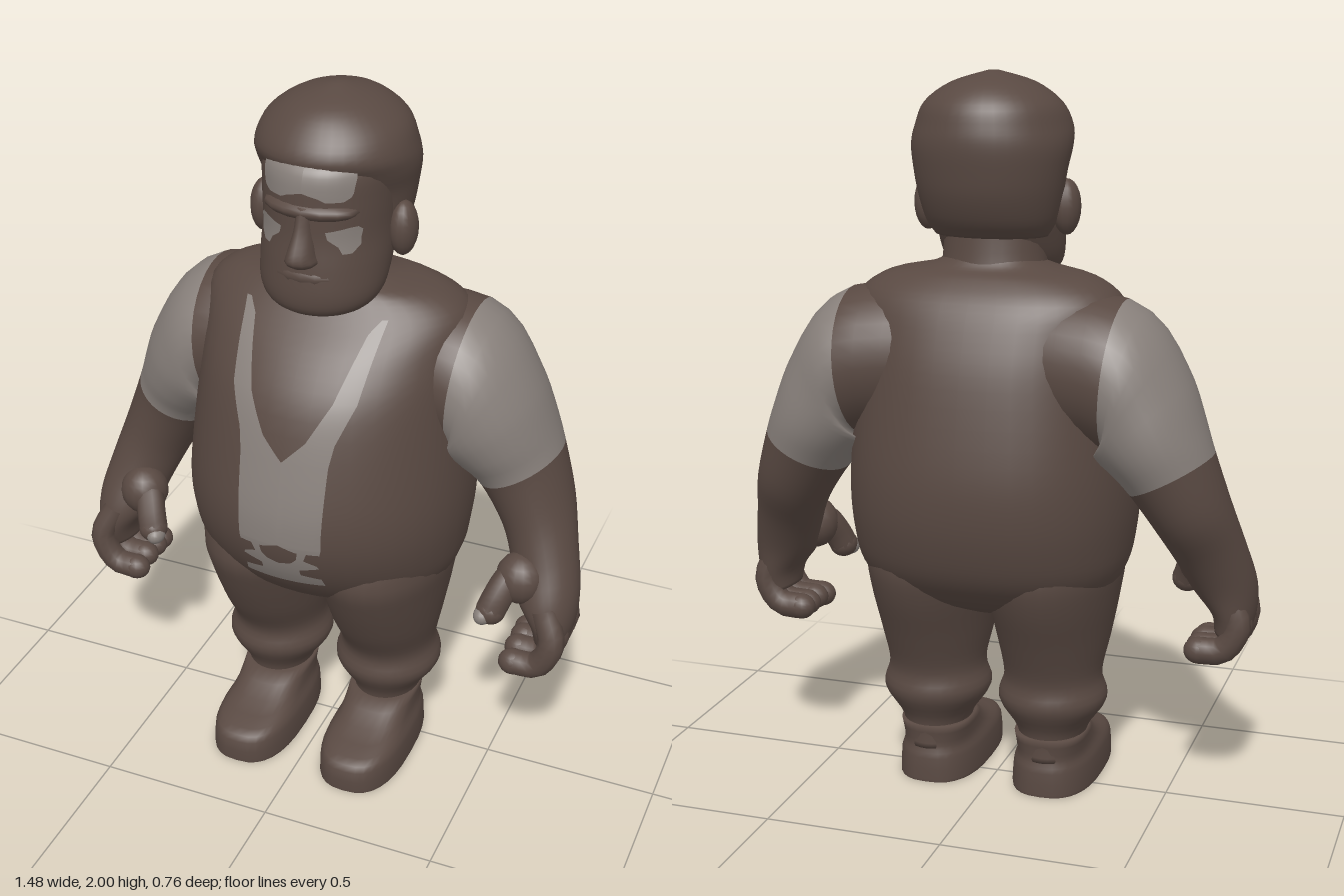
import * as THREE from 'three';

const brown = new THREE.MeshStandardMaterial({ color: 0x594942 });
brown.name = 'dark brown';
const grey = new THREE.MeshStandardMaterial({ color: 0x88807b });
grey.name = 'warm grey';

// Smooth interpolation through section rows
function sample(rows, t) {
  const last = rows.length - 1;
  const i = Math.min(Math.floor(t), last - 1), f = t - i;
  const a = rows[Math.max(i - 1, 0)], b = rows[i], c = rows[i + 1], d = rows[Math.min(i + 2, last)];
  return b.map((v, k) => v + 0.5 * f * (c[k] - a[k] + f * (2 * a[k] - 5 * v + 4 * c[k] - d[k]
    + f * (3 * (v - c[k]) + d[k] - a[k]))));
}

// Skin over elliptical sections [x, y, z, radius across, radius in z, heading in degrees].
// greySpan gives the section range painted grey; power and back below 1 square off the outline.
function loft(name, rows, { sides = 32, steps = 4, power = 1, back = power, greySpan = null } = {}) {
  const pos = [], idx = [], rings = (rows.length - 1) * steps;
  const bend = (v, p) => Math.sign(v) * Math.abs(v) ** p;
  for (let i = 0; i <= rings; i++) {
    const [x, y, z, ra, rz, deg] = sample(rows, i / steps);
    const h = deg * Math.PI / 180;
    for (let j = 0; j < sides; j++) {
      const q = j / sides * Math.PI * 2, p = Math.sin(q) < 0 ? back : power;
      const u = ra * bend(Math.cos(q), p);
      pos.push(x + Math.sin(h) * u, y - Math.cos(h) * u, z + rz * bend(Math.sin(q), p));
    }
  }
  const first = rows[0], end = rows[rows.length - 1], n = (rings + 1) * sides;
  pos.push(first[0], first[1], first[2], end[0], end[1], end[2]);
  for (let i = 0; i < rings; i++) for (let j = 0; j < sides; j++) {
    const k = (j + 1) % sides, a = i * sides + j, b = i * sides + k;
    idx.push(a, a + sides, b, b, a + sides, b + sides);
  }
  const body = idx.length;
  for (let j = 0; j < sides; j++) {
    const k = (j + 1) % sides;
    idx.push(n, j, k, n + 1, rings * sides + k, rings * sides + j);
  }
  const geo = new THREE.BufferGeometry();
  geo.setAttribute('position', new THREE.Float32BufferAttribute(pos, 3));
  geo.setIndex(idx);
  geo.computeVertexNormals();
  let material = brown;
  if (greySpan) {
    const per = steps * sides * 6, [g0, g1] = greySpan;
    geo.addGroup(0, g0 * per, 0);
    geo.addGroup(g0 * per, (g1 - g0) * per, 1);
    geo.addGroup(g1 * per, body - g1 * per + sides * 6, 0);
    material = [brown, grey];
  }
  const mesh = new THREE.Mesh(geo, material);
  mesh.name = name;
  return mesh;
}

// Upright sections [y, z centre, half width, half depth]
const upright = (rows, x = 0) => rows.map(([y, z, rx, rz]) => [x, y, z, rx, rz, 90]);
const flip = (rows, s) => rows.map(([x, y, z, a, b, d]) => [s * x, y, z, a, b, s > 0 ? d : 180 - d]);

// Front depth of an upright loft at x, y
function frontZ(rows, x, y) {
  let lo = 0, hi = rows.length - 1;
  for (let i = 0; i < 30; i++) {
    const mid = (lo + hi) / 2;
    if (sample(rows, mid)[1] < y) lo = mid; else hi = mid;
  }
  const [, , z, rx, rz] = sample(rows, lo);
  return z + rz * Math.sqrt(Math.max(0, 1 - (x / rx) ** 2));
}

// Thin painted patch hugging the front; rows are [y, inner x, outer x] from top to bottom
function patch(name, surface, rows, s) {
  const pos = [], idx = [], cols = 6, sub = 5, count = (rows.length - 1) * sub;
  for (let i = 0; i <= count; i++) {
    const k = Math.min(Math.floor(i / sub), rows.length - 2), f = i / sub - k;
    const [y, x0, x1] = rows[k].map((v, c) => v + (rows[k + 1][c] - v) * f);
    for (let j = 0; j <= cols; j++) {
      const x = s * (x0 + (x1 - x0) * j / cols);
      pos.push(x, y, frontZ(surface, x, y) + 0.007);
    }
  }
  for (let i = 0; i < count; i++) for (let j = 0; j < cols; j++) {
    const a = i * (cols + 1) + j, b = a + 1, c = a + cols + 1, d = c + 1;
    if (s > 0) idx.push(a, c, b, b, c, d); else idx.push(a, b, c, b, d, c);
  }
  const geo = new THREE.BufferGeometry();
  geo.setAttribute('position', new THREE.Float32BufferAttribute(pos, 3));
  geo.setIndex(idx);
  geo.computeVertexNormals();
  const mesh = new THREE.Mesh(geo, grey);
  mesh.name = name;
  return mesh;
}

function ball(name, material, p, r) {
  const geo = new THREE.SphereGeometry(1, 16, 12);
  geo.scale(...r);
  const mesh = new THREE.Mesh(geo, material);
  mesh.position.set(...p);
  mesh.name = name;
  return mesh;
}

function tube(name, points, r) {
  const path = new THREE.CatmullRomCurve3(points.map(p => new THREE.Vector3(...p)));
  const mesh = new THREE.Mesh(new THREE.TubeGeometry(path, 10, r, 10), brown);
  mesh.name = name;
  return mesh;
}

const torso = upright([
  [0.52, -0.01, 0.2, 0.1], [0.58, -0.01, 0.315, 0.225], [0.66, -0.008, 0.372, 0.308], [0.76, 0, 0.393, 0.357],
  [0.87, 0.002, 0.4, 0.377], [1.0, -0.003, 0.393, 0.367], [1.2, -0.012, 0.372, 0.322], [1.32, -0.03, 0.368, 0.265],
  [1.41, -0.05, 0.365, 0.2], [1.465, -0.045, 0.29, 0.15], [1.49, -0.03, 0.17, 0.125], [1.52, -0.02, 0.12, 0.11]]);
const face = upright([
  [1.43, 0.1, 0.06, 0.05], [1.455, 0.085, 0.13, 0.115], [1.5, 0.065, 0.165, 0.15], [1.58, 0.035, 0.174, 0.175],
  [1.66, 0.01, 0.174, 0.19], [1.75, 0.0, 0.178, 0.198], [1.84, -0.02, 0.18, 0.205], [1.9, -0.04, 0.14, 0.15]]);
const hair = upright([
  [1.57, -0.05, 0.155, 0.1], [1.61, -0.055, 0.178, 0.135], [1.68, -0.06, 0.196, 0.163], [1.75, -0.06, 0.208, 0.178],
  [1.81, -0.045, 0.217, 0.2], [1.86, -0.028, 0.21, 0.212], [1.92, -0.035, 0.182, 0.185],
  [1.97, -0.035, 0.112, 0.125], [2.0, -0.035, 0.015, 0.02]]);
const arm = [
  [0.12, 1.245, -0.085, 0.195, 0.18, 0], [0.365, 1.215, -0.09, 0.205, 0.21, -5], [0.425, 1.12, -0.09, 0.175, 0.205, -43],
  [0.475, 1.04, -0.1, 0.145, 0.185, -59], [0.52, 0.965, -0.105, 0.125, 0.155, -62],
  [0.58, 0.84, -0.085, 0.105, 0.13, -65], [0.62, 0.73, -0.035, 0.095, 0.105, -70],
  [0.65, 0.63, 0.01, 0.087, 0.1, -82], [0.672, 0.55, 0.025, 0.06, 0.095, -95], [0.665, 0.49, 0.02, 0.045, 0.075, -110]];
const leg = [
  [0.1, -0.02, 0.09, 0.115], [0.18, -0.02, 0.1, 0.117], [0.265, -0.02, 0.153, 0.16], [0.34, -0.02, 0.137, 0.152],
  [0.45, -0.008, 0.157, 0.205], [0.58, -0.005, 0.18, 0.265], [0.68, 0, 0.19, 0.29], [0.8, 0, 0.17, 0.26]];
const shoe = [
  [0, 0.095, 0.12, 0.235], [0.008, 0.095, 0.122, 0.236], [0.07, 0.095, 0.118, 0.234], [0.095, 0.08, 0.108, 0.212],
  [0.12, 0.03, 0.1, 0.16], [0.17, -0.02, 0.1, 0.117]];
const shirt = [[1.43, 0.185, 0.2], [1.4, 0.16, 0.195], [1.25, 0.115, 0.175], [1.15, 0.06, 0.135],
  [1.09, 0, 0.125], [0.85, 0, 0.118], [0.835, 0.05, 0.115]];
const buckle = [[0.835, 0.055, 0.08], [0.81, 0.05, 0.07], [0.795, 0.035, 0.105], [0.785, 0, 0.11],
  [0.77, 0, 0.055], [0.75, 0, 0.055], [0.74, 0, 0.11], [0.71, 0, 0.115]];
const forehead = [[1.855, 0, 0.12], [1.83, 0, 0.125], [1.79, 0, 0.12], [1.78, 0.04, 0.115], [1.77, 0.06, 0.1]];
const eye = [[1.7, 0.115, 0.13], [1.69, 0.06, 0.138], [1.67, 0.065, 0.135], [1.65, 0.09, 0.135], [1.63, 0.1, 0.12]];

export function createModel() {
  const model = new THREE.Group();
  model.name = 'stoutFigure';
  model.add(loft('torso', torso, { sides: 40, back: 0.85 }));
  model.add(loft('neck', upright([[1.4, -0.04, 0.16, 0.13], [1.5, -0.02, 0.145, 0.125], [1.62, -0.01, 0.14, 0.12]])));
  model.add(loft('face', face, { sides: 40 }));
  model.add(loft('hair', hair, { sides: 40 }));

  // Face relief
  model.add(loft('nose', upright([[1.585, 0.18, 0.02, 0.03], [1.605, 0.2, 0.042, 0.05],
    [1.63, 0.205, 0.036, 0.053], [1.69, 0.185, 0.024, 0.04], [1.75, 0.18, 0.022, 0.025]]), { sides: 12 }));
  model.add(ball('brow', brown, [0, 1.735, 0.135], [0.13, 0.033, 0.075]));
  model.add(ball('moustache', brown, [0, 1.56, 0.155], [0.1, 0.04, 0.06]));

  for (const s of [1, -1]) {
    const side = s > 0 ? 'left' : 'right';
    model.add(patch(side + 'Shirt', torso, shirt, s));
    model.add(patch(side + 'Buckle', torso, buckle, s));
    model.add(patch(side + 'Forehead', face, forehead, s));
    model.add(patch(side + 'Eye', face, eye, s));
    model.add(ball(side + 'Ear', brown, [s * 0.195, 1.645, -0.005], [0.038, 0.075, 0.048]));

    // Arm with grey sleeve, then fingers and thumb
    model.add(loft(side + 'Arm', flip(arm, s), { greySpan: [1, 4] }));
    [0.112, 0.055, 0, -0.04].forEach((z, i) => {
      const drop = i === 0 ? 0.01 : 0;
      model.add(tube(side + 'Finger', [[s * 0.66, 0.62, z * 0.75], [s * 0.695, 0.53, z],
        [s * 0.655, 0.46 - drop, z], [s * 0.59, 0.452 - drop, z]], 0.037));
      model.add(ball(side + 'Fingertip', brown, [s * 0.59, 0.452 - drop, z], [0.042, 0.037, 0.037]));
    });
    model.add(ball(side + 'ThumbBase', brown, [s * 0.58, 0.685, 0.05], [0.07, 0.075, 0.07]));
    model.add(tube(side + 'Thumb', [[s * 0.585, 0.715, 0.04], [s * 0.552, 0.685, 0.075], [s * 0.532, 0.64, 0.105],
      [s * 0.52, 0.605, 0.12]], 0.042));
    model.add(ball(side + 'ThumbTip', brown, [s * 0.52, 0.605, 0.12], [0.042, 0.04, 0.042]));
    model.add(ball(side + 'ThumbNail', grey, [s * 0.503, 0.595, 0.137], [0.026, 0.026, 0.032]));

    model.add(loft(side + 'Leg', upright(leg, s * 0.172)));
    model.add(loft(side + 'Shoe', upright(shoe, s * 0.17), { steps: 2, power: 0.75 }));
  }
  return model;
}
